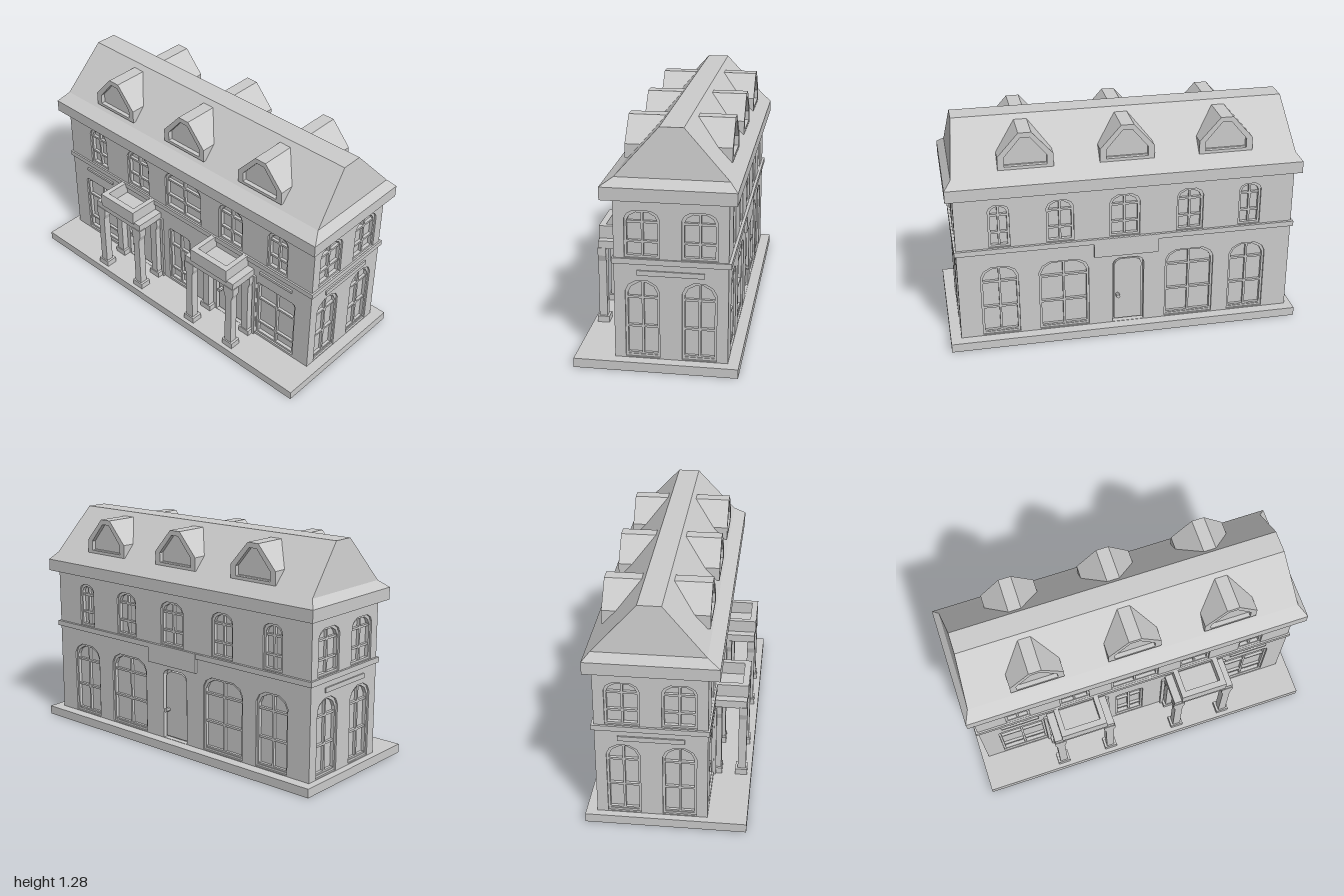
import * as THREE from 'three';

const mat = new THREE.MeshStandardMaterial({ color: 0xcccccc, flatShading: true });
const T = 0.03; // wall skin thickness

function add(parent, name, geo) {
  const m = new THREE.Mesh(geo, mat);
  m.name = name;
  parent.add(m);
  return m;
}

// Box given by its limits on each axis
function box(parent, name, x0, x1, y0, y1, z0, z1) {
  const m = add(parent, name, new THREE.BoxGeometry(x1 - x0, y1 - y0, z1 - z0));
  m.position.set((x0 + x1) / 2, (y0 + y1) / 2, (z0 + z1) / 2);
  return m;
}

const poly = (pts) => new THREE.Shape(pts.map(([x, y]) => new THREE.Vector2(x, y)));

function extrude(parent, name, shape, z0, z1) {
  const m = add(parent, name, new THREE.ExtrudeGeometry(shape, { depth: z1 - z0, bevelEnabled: false }));
  m.position.z = z0;
  return m;
}

// Opening outline: rectangle whose top corners are cut as a three-step arch
function outline(o, inset = 0) {
  const h = o.w / 2 - inset, y0 = o.y0 + inset, y1 = o.y1 - inset, c = o.c;
  return poly([[o.x - h, y0], [o.x + h, y0], [o.x + h, y1 - c], [o.x + h - c * 0.3, y1 - c * 0.4],
    [o.x + h - c, y1], [o.x - h + c, y1], [o.x - h + c * 0.3, y1 - c * 0.4], [o.x - h, y1 - c]]);
}

// Sash frame with glazing bars
function windowSash(parent, o, d) {
  const frame = outline(o);
  frame.holes.push(outline(o, 0.012));
  extrude(parent, 'windowFrame', frame, d - T, d - 0.01);
  box(parent, 'windowMullion', o.x - 0.006, o.x + 0.006, o.y0, o.y1 - 0.004, d - T, d - 0.014);
  for (const y of o.rows)
    box(parent, 'windowBar', o.x - o.w / 2, o.x + o.w / 2, y - 0.006, y + 0.006, d - T, d - 0.014);
}

function doorLeaf(parent, o, d) {
  extrude(parent, 'doorLeaf', outline(o, 0.012), d - T, d - 0.012);
  const kx = o.x - o.w / 2 + 0.03;
  const knob = add(parent, 'doorKnob', new THREE.CylinderGeometry(0.012, 0.012, 0.03, 8));
  knob.rotation.x = Math.PI / 2;
  knob.position.set(kx, 0.225, d + 0.003);
}

// Wall skin with real openings; d is the distance of its face from the centre
function wall(root, name, angle, d, x0, x1, openings) {
  const g = new THREE.Group();
  g.name = name;
  g.rotation.y = angle;
  root.add(g);
  const s = poly([[x0, 0.04], [x1, 0.04], [x1, 0.93], [x0, 0.93]]);
  openings.forEach((o) => s.holes.push(outline(o)));
  extrude(g, name + 'Panel', s, d - T, d);
  openings.forEach((o) => (o.door ? doorLeaf : windowSash)(g, o, d));
  return g;
}

const upper = (x, w) => ({ x, w, y0: 0.606, y1: 0.858, c: Math.min(0.045, w * 0.28), rows: [0.69, 0.795] });
const lower = (x, w) => ({ x, w, y0: 0.055, y1: 0.483, c: 0.06, rows: [0.07, 0.225, 0.385] });
const broad = (x, w) => ({ x, w, y0: 0.065, y1: 0.45, c: 0.018, rows: [0.145, 0.325] });
const door = (x, w, y1) => ({ x, w, y0: 0.052, y1, c: 0.035, door: true });

// Closed skin through stacked rectangles [y, x0, x1, z0, z1]
function loftRects(rings) {
  const pos = [];
  const R = rings.map(([y, x0, x1, z0, z1]) => [[x0, y, z1], [x1, y, z1], [x1, y, z0], [x0, y, z0]]);
  const quad = (a, b, c, d) => pos.push(...a, ...b, ...c, ...a, ...c, ...d);
  for (let i = 0; i + 1 < R.length; i++)
    for (let k = 0; k < 4; k++) {
      const n = (k + 1) % 4;
      quad(R[i][k], R[i][n], R[i + 1][n], R[i + 1][k]);
    }
  const b = R[0], t = R[R.length - 1];
  quad(t[0], t[1], t[2], t[3]);
  quad(b[3], b[2], b[1], b[0]);
  const g = new THREE.BufferGeometry();
  g.setAttribute('position', new THREE.Float32BufferAttribute(pos, 3));
  g.computeVertexNormals();
  return g;
}

// Dormer with a recessed front, facing local +z
function dormer(root, x, front, depth, back) {
  const g = new THREE.Group();
  g.name = back ? 'backDormer' : 'frontDormer';
  const house = (h, y0, yS, hT, y1) => poly([[-h, y0], [h, y0], [h, yS], [hT, y1], [-hT, y1], [-h, yS]]);
  const rim = house(0.15, 1.055, 1.13, 0.035, 1.26);
  rim.holes.push(house(0.115, 1.072, 1.125, 0.025, 1.232));
  extrude(g, 'dormerRim', rim, -0.025, 0);
  extrude(g, 'dormerBody', house(0.15, 1.055, 1.13, 0.035, 1.26), -depth, -0.025);
  g.position.set(x, 0, front);
  if (back) g.rotation.y = Math.PI;
  root.add(g);
}

function portico(root, x) {
  const g = new THREE.Group();
  g.name = 'portico';
  g.position.x = x;
  root.add(g);
  box(g, 'porticoSlab', -0.18, 0.18, 0.485, 0.53, 0.21, 0.395);
  // Parapet open at the top
  box(g, 'parapetFront', -0.135, 0.135, 0.52, 0.602, 0.365, 0.4);
  for (const s of [-1, 1]) {
    const px = s * 0.12;
    box(g, 'parapetSide', px - 0.015, px + 0.015, 0.52, 0.602, 0.21, 0.37);
    // Post and wall pilaster with flared heads
    const c = s * 0.15;
    const post = poly([[c - 0.023, 0.05], [c + 0.023, 0.05], [c + 0.023, 0.41], [c + 0.034, 0.445],
      [c + 0.034, 0.49], [c - 0.034, 0.49], [c - 0.034, 0.445], [c - 0.023, 0.41]]);
    extrude(g, 'porticoPost', post, 0.353, 0.398);
    extrude(g, 'porticoPilaster', post, 0.21, 0.26);
    box(g, 'postPlinth', c - 0.037, c + 0.037, 0.045, 0.085, 0.34, 0.406);
    box(g, 'pilasterPlinth', c - 0.037, c + 0.037, 0.045, 0.085, 0.21, 0.265);
    // Narrow outer moulding on the wall
    box(g, 'wallMoulding', s * 0.19 - 0.01, s * 0.19 + 0.01, 0.05, 0.49, 0.21, 0.232);
  }
}

export function createModel() {
  const root = new THREE.Group();
  root.name = 'townHouse';

  box(root, 'basePlate', -1, 1, 0, 0.05, -0.43, 0.43);
  box(root, 'wallCore', -0.96 + T, 0.94 - T, 0.04, 0.93, -0.37 + T, 0.22 - T);

  // Four walls with windows and doors
  const up = [[-0.715, 0.14], [-0.375, 0.175], [-0.01, 0.28], [0.355, 0.175], [0.695, 0.14]];
  wall(root, 'frontWall', 0, 0.22, -0.96, 0.94, [
    ...up.map(([x, w]) => upper(x, w)),
    broad(-0.715, 0.275), broad(-0.045, 0.17), broad(0.695, 0.275),
    door(-0.375, 0.2, 0.44), door(0.355, 0.2, 0.44)]);
  const upBack = [[-0.7, 0.115], [-0.365, 0.15], [-0.005, 0.17], [0.365, 0.15], [0.71, 0.125]];
  wall(root, 'backWall', Math.PI, 0.37, -0.94, 0.96, [
    ...upBack.map(([x, w]) => upper(x, w)),
    lower(-0.71, 0.21), lower(-0.35, 0.28), lower(0.37, 0.28), lower(0.71, 0.21),
    door(0.015, 0.18, 0.465)]);
  for (const s of [1, -1]) {
    const centres = [-0.073 * s, 0.222 * s];
    const d = s > 0 ? 0.94 : 0.96;
    const ends = s > 0 ? [-0.22 + T, 0.37 - T] : [-0.37 + T, 0.22 - T];
    const g = wall(root, s > 0 ? 'leftWall' : 'rightWall', s * Math.PI / 2, d, ends[0], ends[1],
      centres.flatMap((x) => [upper(x, 0.182), lower(x, 0.178)]));
    box(g, 'sidePanelStrip', s * 0.075 - 0.175, s * 0.075 + 0.175, 0.513, 0.54, d - 0.01, d + 0.008);
  }

  // String course, front strips and hood over the back door
  box(root, 'stringCourse', -0.972, 0.95, 0.573, 0.603, -0.385, 0.23);
  for (const x of [-0.715, 0.695])
    box(root, 'frontPanelStrip', x - 0.113, x + 0.113, 0.525, 0.541, 0.21, 0.23);
  box(root, 'backDoorHood', -0.185, 0.18, 0.49, 0.602, -0.386, -0.36);

  portico(root, -0.375);
  portico(root, 0.355);

  // Eave band and flared hipped roof
  add(root, 'roof', loftRects([
    [0.917, -0.992, 0.98, -0.414, 0.28],
    [0.985, -0.992, 0.98, -0.414, 0.28],
    [1.03, -0.957, 0.94, -0.372, 0.212],
    [1.285, -0.928, 0.91, -0.138, -0.015]]));
  for (const x of [-0.56, -0.01, 0.54]) {
    dormer(root, x, 0.205, 0.205, false);
    dormer(root, x, -0.355, 0.2, true);
  }
  return root;
}
